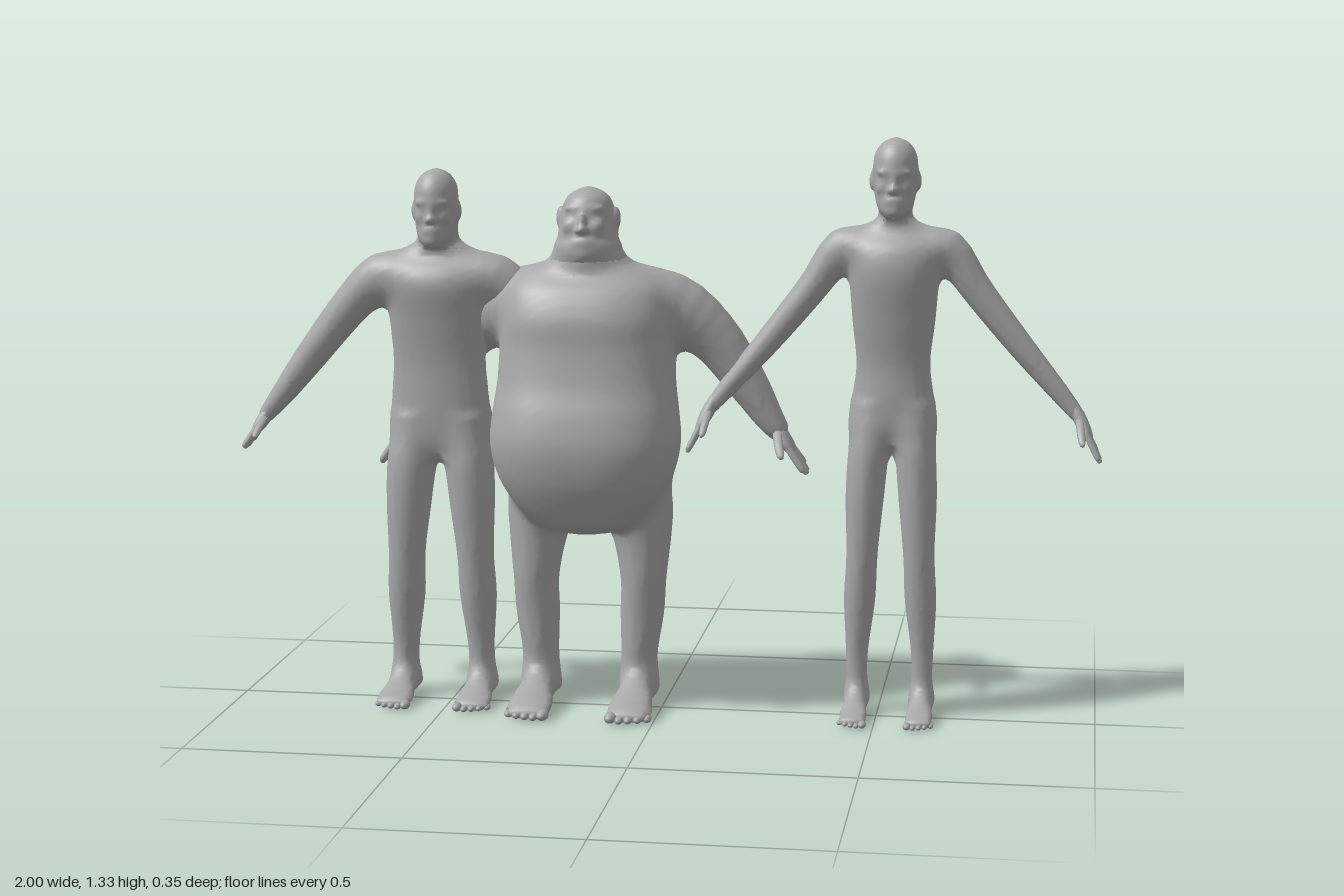
import * as THREE from 'three';

const skin = new THREE.MeshStandardMaterial({ color: 0xa8a8a8 });
skin.name = 'grey clay';

const V = (x, y, z) => new THREE.Vector3(x, y, z);
const spline = pts => new THREE.CatmullRomCurve3(pts, false, 'catmullrom');

function addMesh(group, name, geometry) {
  const m = new THREE.Mesh(geometry, skin);
  m.name = name;
  group.add(m);
  return m;
}

function meshGeometry(pos, index) {
  const g = new THREE.BufferGeometry();
  g.setAttribute('position', new THREE.Float32BufferAttribute(pos, 3));
  g.setIndex(index);
  g.computeVertexNormals();
  return g;
}

// --- Soft volumes: each has bounds, a blend width k and a signed field f(x, y, z) ---

// Stack of oval sections [t, cx, c2, a, b], t rising along y (c2 is z) or, when alongZ, along z (c2 is y)
function stack(rows, { alongZ = false, power = 2, k = 0.03 } = {}) {
  const path = spline(rows.map(r => V(r[0], r[1], r[2]))), size = spline(rows.map(r => V(r[3], r[4], 0)));
  const s = [];
  for (let i = 0; i <= 200; i++) {
    const p = path.getPoint(i / 200), q = size.getPoint(i / 200);
    s.push([p.x, p.y, p.z, Math.max(q.x, 0.003), Math.max(q.y, 0.003)]);
  }
  const lo = rows[0][0], hi = rows[rows.length - 1][0], N = 160, table = [];
  for (let i = 0, j = 0; i <= N; i++) {
    const t = lo + (hi - lo) * i / N;
    while (j < 199 && s[j + 1][0] < t) j++;
    const e = Math.min(1, Math.max(0, (t - s[j][0]) / (s[j + 1][0] - s[j][0] || 1)));
    table.push(s[j].map((v, c) => v + (s[j + 1][c] - v) * e));
  }
  const ext = (c, r, sign) => sign * Math.max(...s.map(q => sign * q[c] + q[r]));
  const min = [ext(1, 3, -1), lo, ext(2, 4, -1)], max = [ext(1, 3, 1), hi, ext(2, 4, 1)];
  if (alongZ) for (const b of [min, max]) [b[1], b[2]] = [b[2], b[1]];
  return { min, max, k, f(x, y, z) {
    const t = alongZ ? z : y, w = alongZ ? y : z;
    const g = Math.min(N - 1e-6, Math.max(0, (t - lo) / (hi - lo) * N)), i = Math.floor(g), e = g - i;
    const A = table[i], B = table[i + 1], mix = c => A[c] + (B[c] - A[c]) * e;
    const a = mix(3), b = mix(4);
    const n = (Math.abs((x - mix(1)) / a) ** power + Math.abs((w - mix(2)) / b) ** power) ** (1 / power);
    return Math.max((n - 1) * Math.min(a, b), lo - t, t - hi);
  } };
}

// Round limb through points [x, y, z, radius]
function limb(rows, k = 0.035) {
  const path = spline(rows.map(r => V(r[0], r[1], r[2]))), rad = spline(rows.map(r => V(r[3], 0, 0)));
  const p = Array.from({ length: 17 }, (_, i) => [...path.getPoint(i / 16).toArray(), rad.getPoint(i / 16).x]);
  const ext = (c, sign) => sign * Math.max(...p.map(q => sign * q[c] + q[3]));
  return { min: [0, 1, 2].map(c => ext(c, -1)), max: [0, 1, 2].map(c => ext(c, 1)), k, f(x, y, z) {
    let best = 1;
    for (let i = 0; i < 16; i++) {
      const a = p[i], b = p[i + 1], dx = b[0] - a[0], dy = b[1] - a[1], dz = b[2] - a[2];
      const t = Math.min(1, Math.max(0, ((x - a[0]) * dx + (y - a[1]) * dy + (z - a[2]) * dz) / (dx * dx + dy * dy + dz * dz)));
      const d = Math.hypot(x - a[0] - dx * t, y - a[1] - dy * t, z - a[2] - dz * t) - a[3] - (b[3] - a[3]) * t;
      if (d < best) best = d;
    }
    return best;
  } };
}

function blob(x0, y0, z0, a, b, c, k = 0.01) {
  return { min: [x0 - a, y0 - b, z0 - c], max: [x0 + a, y0 + b, z0 + c], k,
    f: (x, y, z) => (Math.hypot((x - x0) / a, (y - y0) / b, (z - z0) / c) - 1) * Math.min(a, b, c) };
}

// Volumes melted together with a smooth union
function melt(parts) {
  const m = 0.05;
  return (x, y, z) => {
    let d = 1;
    for (const { min, max, k, f } of parts) {
      if (x < min[0] - m || x > max[0] + m || y < min[1] - m || y > max[1] + m || z < min[2] - m || z > max[2] + m) continue;
      const e = f(x, y, z), h = Math.max(k - Math.abs(d - e), 0);
      d = Math.min(d, e) - h * h / (4 * k);
    }
    return d;
  };
}

// Smooth quad skin over the zero level of a field, on a grid of step h
function skinOver(field, min, max, h) {
  const n = min.map((v, c) => Math.ceil((max[c] - v) / h) + 1);
  const step = [1, n[0], n[0] * n[1]], total = step[2] * n[2];
  const val = new Float32Array(total).fill(1), cell = new Int32Array(total).fill(-1), pos = [], index = [];
  const each = (from, fn) => {
    for (let z = from; z < n[2] - 1; z++) for (let y = from; y < n[1] - 1; y++) for (let x = from; x < n[0] - 1; x++)
      fn(x + y * step[1] + z * step[2], [x, y, z]);
  };
  each(0, (i, g) => { val[i] = field(min[0] + g[0] * h, min[1] + g[1] * h, min[2] + g[2] * h); });
  each(0, (i, g) => {
    const sum = [0, 0, 0];
    let hits = 0;
    for (let c = 0; c < 8; c++) for (let ax = 0; ax < 3; ax++) {
      if (c >> ax & 1) continue;
      const o = [c & 1, c >> 1 & 1, c >> 2 & 1];
      const p = i + o[0] + o[1] * step[1] + o[2] * step[2], a = val[p], b = val[p + step[ax]];
      if ((a < 0) === (b < 0)) continue;
      o[ax] = a / (a - b);
      for (let q = 0; q < 3; q++) sum[q] += o[q];
      hits++;
    }
    if (!hits) return;
    cell[i] = pos.length / 3;
    for (let q = 0; q < 3; q++) pos.push(min[q] + (g[q] + sum[q] / hits) * h);
  });
  each(1, i => {
    for (let ax = 0; ax < 3; ax++) {
      const inside = val[i] < 0;
      if (inside === val[i + step[ax]] < 0) continue;
      const v = step[(ax + 1) % 3], w = step[(ax + 2) % 3];
      const q = [cell[i - v - w], cell[i - w], cell[i], cell[i - v]];
      if (!inside) q.reverse();
      index.push(q[0], q[1], q[2], q[0], q[2], q[3]);
    }
  });
  return meshGeometry(pos, index);
}

// --- Hands: tapered tubes through [x, y, z, halfThickness, halfWidth] ---
function tube(rows, sides) {
  const path = spline(rows.map(r => V(r[0], r[1], r[2]))), size = spline(rows.map(r => V(r[3], r[4], 0)));
  const n = (rows.length - 1) * 4, pos = [], index = [], v = V(0, 0, 1);
  for (let i = 0; i <= n; i++) {
    const c = path.getPoint(i / n), s = size.getPoint(i / n), u = v.clone().cross(path.getTangent(i / n)).normalize();
    for (let j = 0; j < sides; j++) {
      const a = (j / sides) * Math.PI * 2;
      pos.push(...c.clone().addScaledVector(u, s.x * Math.cos(a)).addScaledVector(v, s.y * Math.sin(a)).toArray());
      const k = (j + 1) % sides, q = i * sides, w = q + sides;
      if (i < n) index.push(q + j, q + k, w + j, q + k, w + k, w + j);
      else if (j > 1) index.push(q, q + j - 1, q + j);
    }
  }
  return meshGeometry(pos, index);
}

function hand(side, wrist, tip, w) {
  const g = new THREE.Group();
  g.name = 'hand';
  const at = (t, dz = 0, dx = 0) => {
    const p = wrist.clone().lerp(tip, t);
    return [side * (p.x + dx), p.y, p.z + dz];
  };
  addMesh(g, 'palm', tube([[...at(-0.2), w * 0.45, w * 0.5], [...at(0.1), w * 0.58, w * 0.85], [...at(0.35), w * 0.5, w * 1.15],
    [...at(0.5), w * 0.36, w * 1.1], [...at(0.57), w * 0.12, w * 0.8]], 16));
  [0.86, 0.98, 1, 0.92].forEach((len, i) => {
    const z = (i - 1.5) * w * 0.58, r = w * 0.27;
    addMesh(g, 'finger', tube([[...at(0.4, z), r, r], [...at(0.65, z * 1.2), r, r],
      [...at(len - 0.05, z * 1.4), r * 0.85, r * 0.85], [...at(len, z * 1.4), r * 0.25, r * 0.25]], 10));
  });
  const r = w * 0.34;
  addMesh(g, 'thumb', tube([[...at(0.05, w * 0.4), r, r], [...at(0.26, w * 1.5, -w * 0.3), r, r],
    [...at(0.5, w * 2.35, -w * 0.6), r * 0.85, r * 0.85], [...at(0.58, w * 2.5, -w * 0.65), r * 0.3, r * 0.3]], 10));
  return g;
}

const ball = new THREE.SphereGeometry(1, 14, 10);
function toes(side, { x, w, toe }) {
  const g = new THREE.Group();
  g.name = 'toes';
  for (let i = 0; i < 5; i++) {
    const r = w * (i ? 0.19 : 0.27), m = addMesh(g, 'toe', ball);
    m.position.set(side * (x + w * (-0.72 + i * 0.39)), r * 0.9, toe - r * 1.7 - i * i * 0.0015);
    m.scale.set(r, r * 0.9, r * 1.7);
  }
  return g;
}

const footStack = (side, { x, w, heel, toe, h }) =>
  stack([[0, 0.4, 0.5], [0.06, 0.6, 0.72], [0.25, 0.66, 0.9], [0.45, 0.74, 0.78], [0.65, 0.95, 0.53], [0.82, 1, 0.36],
    [0.92, 0.85, 0.24]].map(([t, a, b]) => [heel + t * (toe - heel), side * x, b * h, a * w, b * h]), { alongZ: true });

// Nose, brow, lips, cheeks and ears, placed around the nose height
function face({ y, z, s, ear, earZ, brow }) {
  const b = (x, dy, dz, rx, ry, rz) => blob(x * s, y + dy * s, z + dz * s, rx * s, ry * s, rz * s, 0.008);
  const list = [b(0, 0.01, -0.002, 0.006, 0.018, 0.008), b(0, -0.003, 0.006, 0.009, 0.008, 0.01),
    b(0, -0.027, -0.001, 0.015, 0.005, 0.006), b(0, -0.036, -0.003, 0.013, 0.005, 0.006), b(0, -0.053, -0.009, 0.016, 0.012, 0.013)];
  for (const k of [-1, 1]) list.push(b(k * 0.008, -0.006, 0, 0.006, 0.005, 0.007), b(k * 0.02, 0.034, brow, 0.017, 0.006, 0.009),
    b(k * 0.025, 0, -0.022, 0.015, 0.016, 0.016), blob(k * ear, y + 0.012 * s, earZ, 0.008 * s, 0.022 * s, 0.014 * s, 0.006));
  return list;
}

function person(d) {
  const g = new THREE.Group();
  g.name = d.name;
  g.position.x = d.x;
  const column = (rows, x, power) => stack(rows.map(([y, z, a, b, cx = 0]) => [y, x * cx, z, a, b]), { power });
  const [bx, by, bz, ...br] = d.seat;
  const parts = [column(d.torso, 0, d.power), column(d.head, 0), ...face(d.face)];
  for (const s of [-1, 1]) {
    parts.push(column(d.leg, s), footStack(s, d.foot), blob(s * bx, by, bz, ...br, 0.035), limb(d.arm.map(([x, ...r]) => [s * x, ...r])));
    g.add(hand(s, V(...d.wrist), V(...d.tip), d.palm), toes(s, d.foot));
  }
  // the head is skinned on a finer grid and overlaps the body at the neck
  const all = melt(parts), X = Math.ceil(0.52 / d.grid) * d.grid, cut = d.neck, top = d.head[d.head.length - 1][0];
  addMesh(g, 'body', skinOver((x, y, z) => Math.max(all(x, y, z), y - cut - 0.008),
    [-X, -1.5 * d.grid, -0.22], [X + d.grid, cut + 0.05, 0.23], d.grid));
  addMesh(g, 'head', skinOver((x, y, z) => Math.max(all(x, y, z), cut - 0.008 - y),
    [-0.102, cut - 0.03, -0.15], [0.108, top + 0.03, 0.13], 0.006));
  return g;
}

// Slim head rows [y, z, halfWidth, halfDepth], moved by dy
const slimHead = dy => [[1.155, 0.018, 0.02, 0.022], [1.175, 0.006, 0.036, 0.042], [1.215, -0.011, 0.045, 0.056],
  [1.26, -0.016, 0.05, 0.064], [1.295, -0.017, 0.046, 0.058], [1.32, -0.017, 0.029, 0.037],
  [1.331, -0.017, 0.006, 0.008]].map(([y, ...r]) => [y + dy, ...r]);

const slim = {
  name: 'slim figure', x: 0.527, grid: 0.01, neck: 1.15,
  torso: [[0.64, -0.035, 0.06, 0.04], [0.68, -0.036, 0.086, 0.053], [0.74, -0.035, 0.092, 0.055],
    [0.82, -0.03, 0.084, 0.05], [0.92, -0.025, 0.094, 0.06], [1.02, -0.022, 0.102, 0.072],
    [1.08, -0.026, 0.108, 0.066], [1.112, -0.035, 0.1, 0.048], [1.132, -0.038, 0.07, 0.04],
    [1.15, -0.037, 0.042, 0.036], [1.18, -0.033, 0.036, 0.034], [1.21, -0.028, 0.033, 0.032]],
  head: slimHead(0), face: { y: 1.222, z: 0.045, s: 1, ear: 0.051, earZ: -0.018, brow: -0.01 },
  leg: [[0.03, -0.042, 0.024, 0.036, 0.075], [0.08, -0.038, 0.024, 0.034, 0.075], [0.15, -0.035, 0.026, 0.033, 0.075],
    [0.27, -0.03, 0.036, 0.043, 0.07], [0.38, -0.02, 0.036, 0.043, 0.065], [0.52, -0.02, 0.044, 0.05, 0.06],
    [0.64, -0.028, 0.044, 0.055, 0.053], [0.72, -0.035, 0.03, 0.038, 0.05]],
  arm: [[0.07, 1.075, -0.035, 0.035], [0.122, 1.08, -0.035, 0.041], [0.185, 0.99, -0.036, 0.036],
    [0.285, 0.865, -0.037, 0.03], [0.37, 0.765, -0.035, 0.023], [0.418, 0.708, -0.03, 0.017]],
  wrist: [0.418, 0.71, -0.028], tip: [0.47, 0.605, -0.018], palm: 0.026,
  foot: { x: 0.075, w: 0.034, heel: -0.085, toe: 0.125, h: 0.034 },
  seat: [0.044, 0.675, -0.046, 0.04, 0.06, 0.04],
};

const medium = {
  name: 'medium figure', x: -0.527, grid: 0.01, neck: 1.07,
  torso: [[0.58, -0.035, 0.07, 0.05], [0.62, -0.037, 0.1, 0.063], [0.68, -0.036, 0.116, 0.065],
    [0.8, -0.03, 0.109, 0.058], [0.9, -0.027, 0.116, 0.066], [0.98, -0.026, 0.127, 0.076],
    [1.02, -0.03, 0.135, 0.066], [1.042, -0.035, 0.12, 0.05], [1.062, -0.038, 0.084, 0.043],
    [1.083, -0.037, 0.052, 0.04], [1.11, -0.033, 0.043, 0.038], [1.14, -0.028, 0.038, 0.035]],
  head: slimHead(-0.081), face: { y: 1.141, z: 0.045, s: 1, ear: 0.051, earZ: -0.018, brow: -0.01 },
  leg: [[0.03, -0.04, 0.029, 0.04, 0.092], [0.08, -0.037, 0.03, 0.038, 0.092], [0.14, -0.035, 0.032, 0.038, 0.09],
    [0.25, -0.03, 0.043, 0.05, 0.086], [0.35, -0.02, 0.043, 0.05, 0.082], [0.48, -0.022, 0.053, 0.06, 0.075],
    [0.58, -0.028, 0.056, 0.064, 0.068], [0.67, -0.035, 0.04, 0.05, 0.062]],
  arm: [[0.08, 0.995, -0.035, 0.045], [0.14, 0.992, -0.037, 0.054], [0.21, 0.93, -0.04, 0.046],
    [0.315, 0.8, -0.042, 0.037], [0.38, 0.715, -0.04, 0.028], [0.42, 0.665, -0.036, 0.02]],
  wrist: [0.418, 0.668, -0.035], tip: [0.472, 0.585, -0.028], palm: 0.027,
  foot: { x: 0.093, w: 0.043, heel: -0.085, toe: 0.125, h: 0.04 },
  seat: [0.054, 0.63, -0.05, 0.05, 0.065, 0.046],
};

const heavy = {
  name: 'heavy figure', x: -0.175, power: 2.5, grid: 0.012, neck: 1.05,
  torso: [[0.415, 0.012, 0.04, 0.04], [0.425, 0.013, 0.08, 0.07], [0.45, 0.016, 0.124, 0.103], [0.5, 0.012, 0.172, 0.136],
    [0.56, 0.013, 0.204, 0.157], [0.63, 0.016, 0.219, 0.162], [0.7, 0.01, 0.214, 0.155], [0.77, -0.004, 0.205, 0.145],
    [0.85, -0.022, 0.202, 0.147], [0.92, -0.028, 0.198, 0.146], [0.98, -0.034, 0.186, 0.124],
    [1.015, -0.042, 0.158, 0.095], [1.04, -0.04, 0.1, 0.076], [1.07, -0.035, 0.066, 0.066]],
  head: [[1.0, -0.03, 0.07, 0.07], [1.04, -0.027, 0.073, 0.077], [1.07, -0.023, 0.074, 0.082], [1.1, -0.028, 0.069, 0.08],
    [1.14, -0.032, 0.063, 0.076], [1.18, -0.034, 0.053, 0.066], [1.2, -0.034, 0.034, 0.043], [1.211, -0.034, 0.008, 0.01]],
  face: { y: 1.125, z: 0.053, s: 1.2, ear: 0.065, earZ: -0.035, brow: -0.025 },
  leg: [[0.03, -0.038, 0.043, 0.048, 0.117], [0.08, -0.035, 0.043, 0.051, 0.117], [0.13, -0.033, 0.043, 0.053, 0.118],
    [0.22, -0.035, 0.051, 0.06, 0.124], [0.3, -0.034, 0.053, 0.067, 0.127], [0.4, -0.045, 0.068, 0.082, 0.122],
    [0.48, -0.045, 0.086, 0.09, 0.107], [0.58, -0.04, 0.075, 0.08, 0.1]],
  arm: [[0.1, 0.94, -0.06, 0.075], [0.19, 0.933, -0.065, 0.078], [0.285, 0.865, -0.075, 0.061],
    [0.365, 0.755, -0.08, 0.047], [0.41, 0.685, -0.078, 0.035], [0.432, 0.655, -0.076, 0.028]],
  wrist: [0.43, 0.658, -0.074], tip: [0.505, 0.55, -0.08], palm: 0.031,
  foot: { x: 0.117, w: 0.053, heel: -0.088, toe: 0.178, h: 0.05 },
  seat: [0.085, 0.56, -0.07, 0.08, 0.1, 0.074],
};

export function createModel() {
  const group = new THREE.Group();
  group.name = 'three standing figures';
  for (const d of [medium, heavy, slim]) group.add(person(d));
  return group;
}
